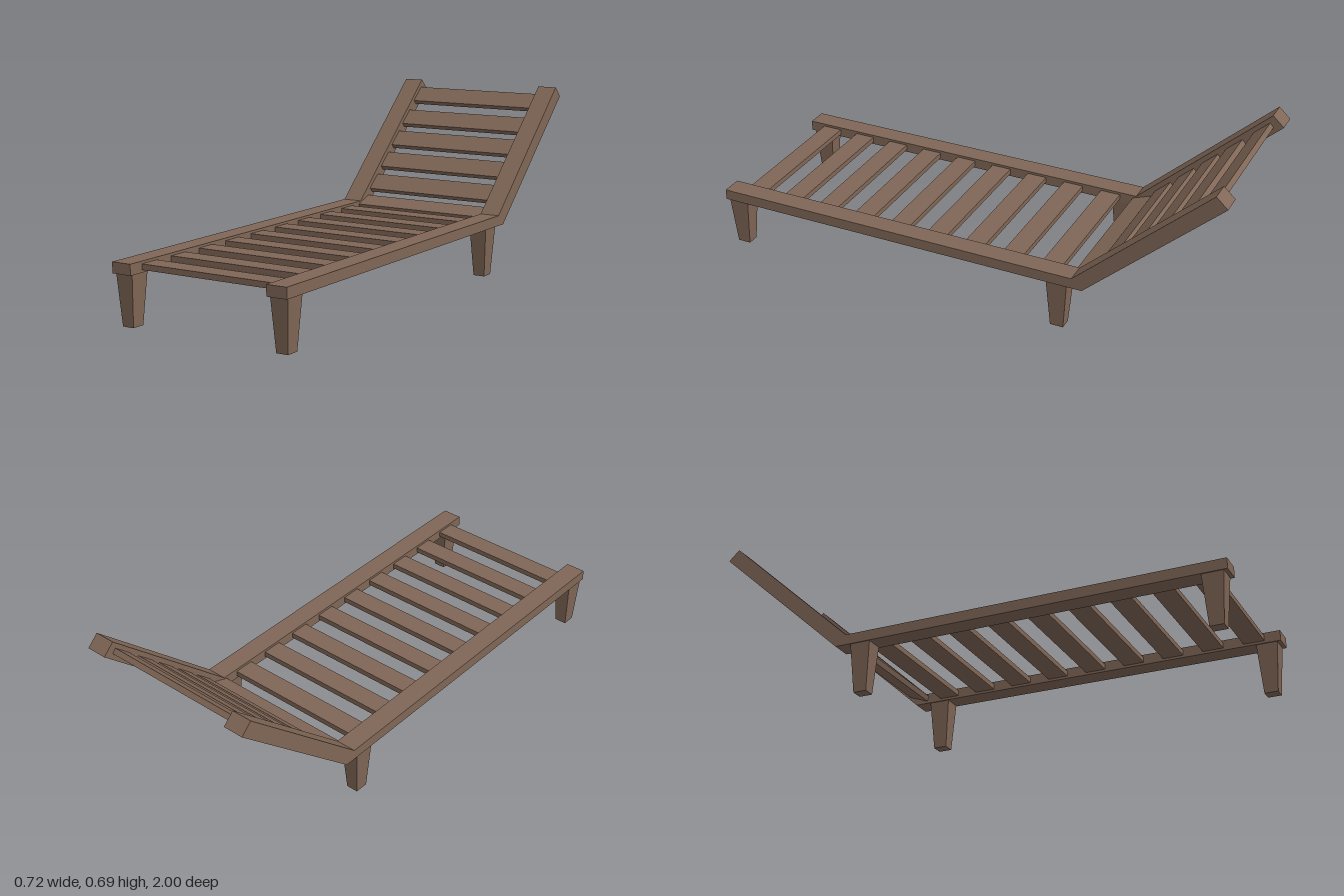
import * as THREE from 'three';

export function createModel() {
  const group = new THREE.Group();
  const wood = new THREE.MeshStandardMaterial({ color: 0x7f6656 });
  wood.name = 'brown wood';

  const add = (name, geometry, x, y, z, tilt = 0) => {
    const mesh = new THREE.Mesh(geometry, wood);
    mesh.name = name;
    mesh.position.set(x, y, z);
    mesh.rotation.x = tilt;
    group.add(mesh);
    return mesh;
  };

  // Side rails: profile in (z, y), with the backrest rising behind the seat
  const railIn = 0.279, railOut = 0.358, railMid = (railIn + railOut) / 2;
  const railWidth = railOut - railIn;
  const profile = new THREE.Shape([
    [1, 0.189], [1, 0.229], [-0.454, 0.229], [-0.957, 0.69], [-1, 0.65], [-0.495, 0.189],
  ].map(([z, y]) => new THREE.Vector2(z, y)));
  const railGeometry = new THREE.ExtrudeGeometry(profile, { depth: railWidth, bevelEnabled: false });
  railGeometry.rotateY(-Math.PI / 2).translate(railWidth / 2, 0, 0);

  // Tapered square leg, wider at the top
  const legGeometry = new THREE.BoxGeometry(0.07, 0.189, 0.08);
  const p = legGeometry.attributes.position;
  for (let i = 0; i < p.count; i++) {
    if (p.getY(i) < 0) p.setXYZ(i, p.getX(i) * 0.66, p.getY(i), p.getZ(i) * 0.64);
  }
  legGeometry.computeVertexNormals();

  for (const [side, s] of [['left', 1], ['right', -1]]) {
    add(side + 'Rail', railGeometry, s * railMid, 0, 0);
    add(side + 'FrontLeg', legGeometry, s * railMid, 0.0945, 0.946);
    add(side + 'RearLeg', legGeometry, s * railMid, 0.0945, -0.395);
  }

  // Seat slats
  const slatGeometry = new THREE.BoxGeometry(railIn * 2, 0.021, 0.079);
  for (let i = 0; i < 9; i++) add('seatSlat', slatGeometry, 0, 0.209, 0.9 - i * 0.156);

  // Half-tilted slat where the seat meets the backrest
  add('hingeSlat', slatGeometry, 0, 0.222, -0.481, 0.35);

  // Backrest slats, centred in the rail thickness
  const angle = 0.74;
  const half = 0.0105;
  for (const y of [0.298, 0.38, 0.461, 0.5425, 0.632]) {
    const z = -0.919 + (0.632 - y) * 1.08;
    add('backSlat', slatGeometry, 0, y - half * Math.cos(angle), z - half * Math.sin(angle), angle);
  }
  return group;
}
